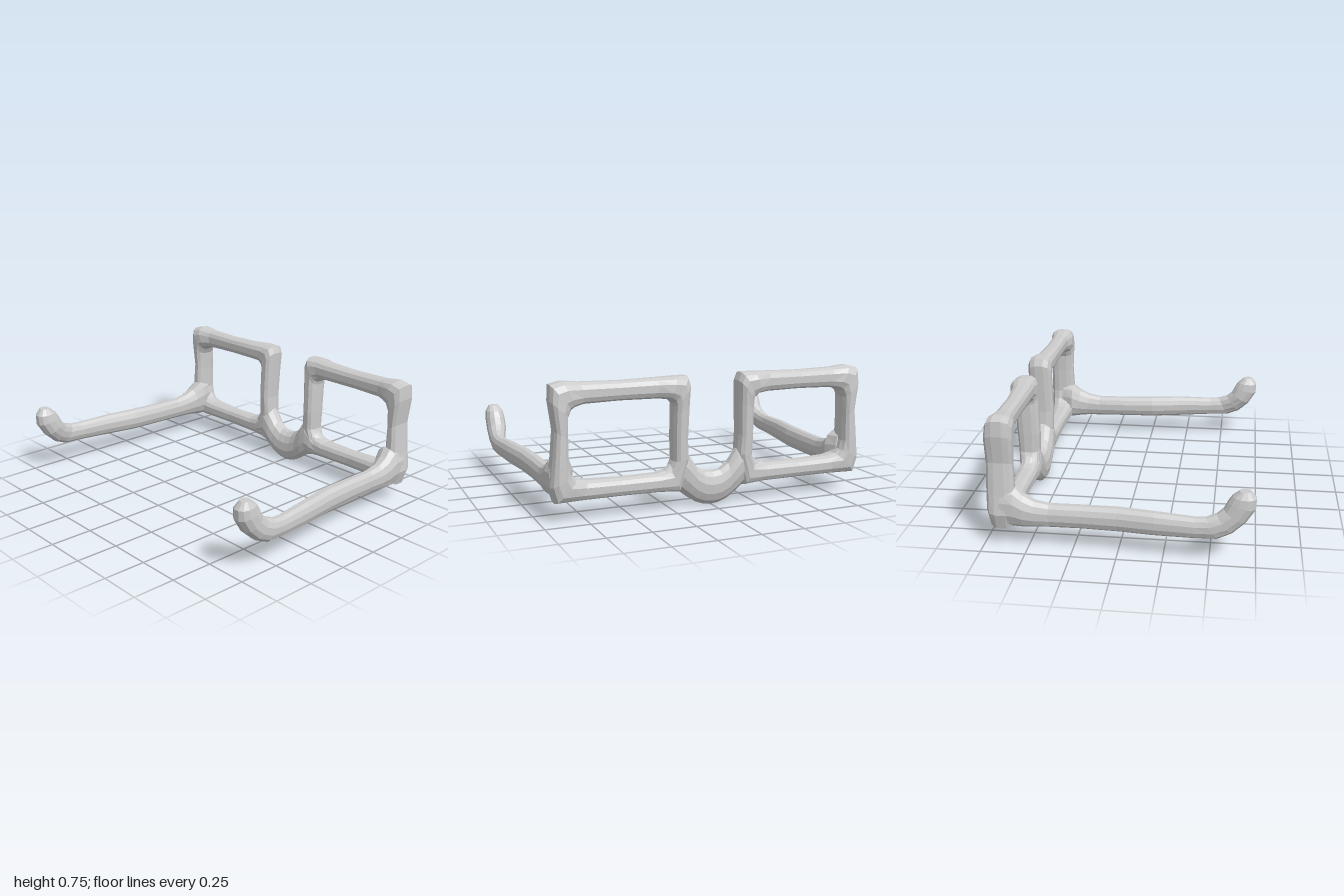
import * as THREE from 'three';

const material = new THREE.MeshStandardMaterial({ color: 0xcccccc, flatShading: true });
const SIDES = 12;

// Skin rounded cross-sections. Each station has two opposite rim points a and b,
// and a half-width vector h; "square" below 1 makes the section boxier.
function loft(name, stations, closed, square) {
  const pos = [], index = [], n = stations.length;
  const soft = (t) => Math.sign(t) * Math.pow(Math.abs(t), square);
  for (const { a, b, h } of stations) {
    const c = a.clone().add(b).multiplyScalar(0.5);
    const u = a.clone().sub(c);
    for (let j = 0; j < SIDES; j++) {
      const t = ((j + 0.5) / SIDES) * Math.PI * 2;
      const p = c.clone().addScaledVector(u, soft(Math.cos(t))).addScaledVector(h, soft(Math.sin(t)));
      pos.push(p.x, p.y, p.z);
    }
  }
  for (let i = 0; i < (closed ? n : n - 1); i++) {
    const r = i * SIDES, s = ((i + 1) % n) * SIDES;
    for (let j = 0; j < SIDES; j++) {
      const k = (j + 1) % SIDES;
      index.push(r + j, r + k, s + k, r + j, s + k, s + j);
    }
  }
  if (!closed) {
    const e = (n - 1) * SIDES;
    for (let j = 1; j < SIDES - 1; j++) index.push(0, j + 1, j, e, e + j, e + j + 1);
  }
  // Turn the faces outward if the signed volume is negative
  const v = (i) => new THREE.Vector3().fromArray(pos, i * 3);
  let volume = 0;
  for (let i = 0; i < index.length; i += 3) {
    volume += v(index[i]).dot(v(index[i + 1]).cross(v(index[i + 2])));
  }
  if (volume < 0) index.reverse();
  const geo = new THREE.BufferGeometry();
  geo.setAttribute('position', new THREE.Float32BufferAttribute(pos, 3));
  geo.setIndex(index);
  geo.computeVertexNormals();
  const mesh = new THREE.Mesh(geo, material);
  mesh.name = name;
  return mesh;
}

const V = (x, y, z) => new THREE.Vector3(x, y, z);

// Rim stations: outer x, outer y, inner x, inner y, centre z, half depth
const RIM = [
  [0.165, 0.755, 0.25, 0.605, -0.655, 0.075],
  [0.24, 0.755, 0.275, 0.63, -0.66, 0.075],
  [0.34, 0.75, 0.34, 0.635, -0.645, 0.06],
  [0.55, 0.745, 0.55, 0.637, -0.64, 0.052],
  [0.77, 0.75, 0.75, 0.632, -0.64, 0.055],
  [0.87, 0.76, 0.80, 0.62, -0.64, 0.075],
  [0.935, 0.745, 0.82, 0.605, -0.64, 0.078],
  [0.94, 0.66, 0.838, 0.57, -0.643, 0.08],
  [0.918, 0.5, 0.842, 0.46, -0.645, 0.075],
  [0.935, 0.32, 0.84, 0.31, -0.645, 0.08],
  [0.95, 0.2, 0.825, 0.26, -0.645, 0.08],
  [0.925, 0.11, 0.80, 0.235, -0.645, 0.075],
  [0.78, 0.112, 0.74, 0.222, -0.64, 0.065],
  [0.55, 0.112, 0.55, 0.215, -0.64, 0.055],
  [0.32, 0.11, 0.34, 0.218, -0.64, 0.06],
  [0.2, 0.1, 0.265, 0.237, -0.64, 0.062],
  [0.15, 0.29, 0.243, 0.28, -0.645, 0.065],
  [0.158, 0.4, 0.245, 0.4, -0.645, 0.07],
  [0.152, 0.58, 0.245, 0.55, -0.65, 0.072],
  [0.147, 0.71, 0.245, 0.585, -0.655, 0.075],
];

// Arm stations: lower y, lower z, upper y, upper z, inner x, outer x
const ARM = [
  [0.115, -0.66, 0.36, -0.64, 0.82, 0.945],
  [0.115, -0.58, 0.355, -0.57, 0.79, 0.952],
  [0.118, -0.53, 0.31, -0.52, 0.815, 0.952],
  [0.122, -0.47, 0.278, -0.46, 0.835, 0.945],
  [0.125, -0.38, 0.262, -0.38, 0.842, 0.935],
  [0.128, -0.2, 0.264, -0.2, 0.842, 0.94],
  [0.128, 0, 0.268, 0, 0.85, 0.952],
  [0.132, 0.2, 0.268, 0.2, 0.882, 0.978],
  [0.14, 0.4, 0.26, 0.42, 0.91, 0.995],
  [0.145, 0.54, 0.265, 0.48, 0.912, 1.0],
  [0.18, 0.62, 0.285, 0.535, 0.895, 1.0],
  [0.245, 0.69, 0.315, 0.57, 0.88, 1.0],
  [0.325, 0.74, 0.358, 0.59, 0.882, 1.0],
  [0.385, 0.742, 0.392, 0.612, 0.89, 0.995],
  [0.425, 0.71, 0.425, 0.65, 0.915, 0.975],
];

// Bridge stations for one half: x, bottom y, top y, half depth
const BRIDGE = [
  [0, 0, 0.198, 0.06],
  [0.05, 0.006, 0.205, 0.06],
  [0.1, 0.025, 0.24, 0.06],
  [0.15, 0.058, 0.315, 0.064],
  [0.19, 0.09, 0.36, 0.062],
  [0.24, 0.106, 0.27, 0.06],
  [0.32, 0.115, 0.21, 0.05],
];

export function createModel() {
  const group = new THREE.Group();
  group.name = 'glasses';

  for (const [side, s] of [['left', 1], ['right', -1]]) {
    // Lens rim
    group.add(loft(side + 'Rim', RIM.map(([ox, oy, ix, iy, z, d]) => ({
      a: V(s * ox, oy, z), b: V(s * ix, iy, z), h: V(0, 0, d),
    })), true, 0.75));

    // Temple arm with upturned tip
    group.add(loft(side + 'Arm', ARM.map(([y0, z0, y1, z1, x0, x1]) => {
      const x = s * (x0 + x1) / 2;
      return { a: V(x, y0, z0), b: V(x, y1, z1), h: V((x1 - x0) / 2, 0, 0) };
    }), false, 0.9));
  }

  // Nose bridge, mirrored about the middle
  const half = BRIDGE.slice(1);
  const bridge = [...half.map(([x, ...r]) => [-x, ...r]).reverse(), ...BRIDGE];
  group.add(loft('bridge', bridge.map(([x, y0, y1, d]) => ({
    a: V(x, y0, -0.625), b: V(x, y1, -0.645), h: V(0, 0, d),
  })), false, 0.95));

  return group;
}
